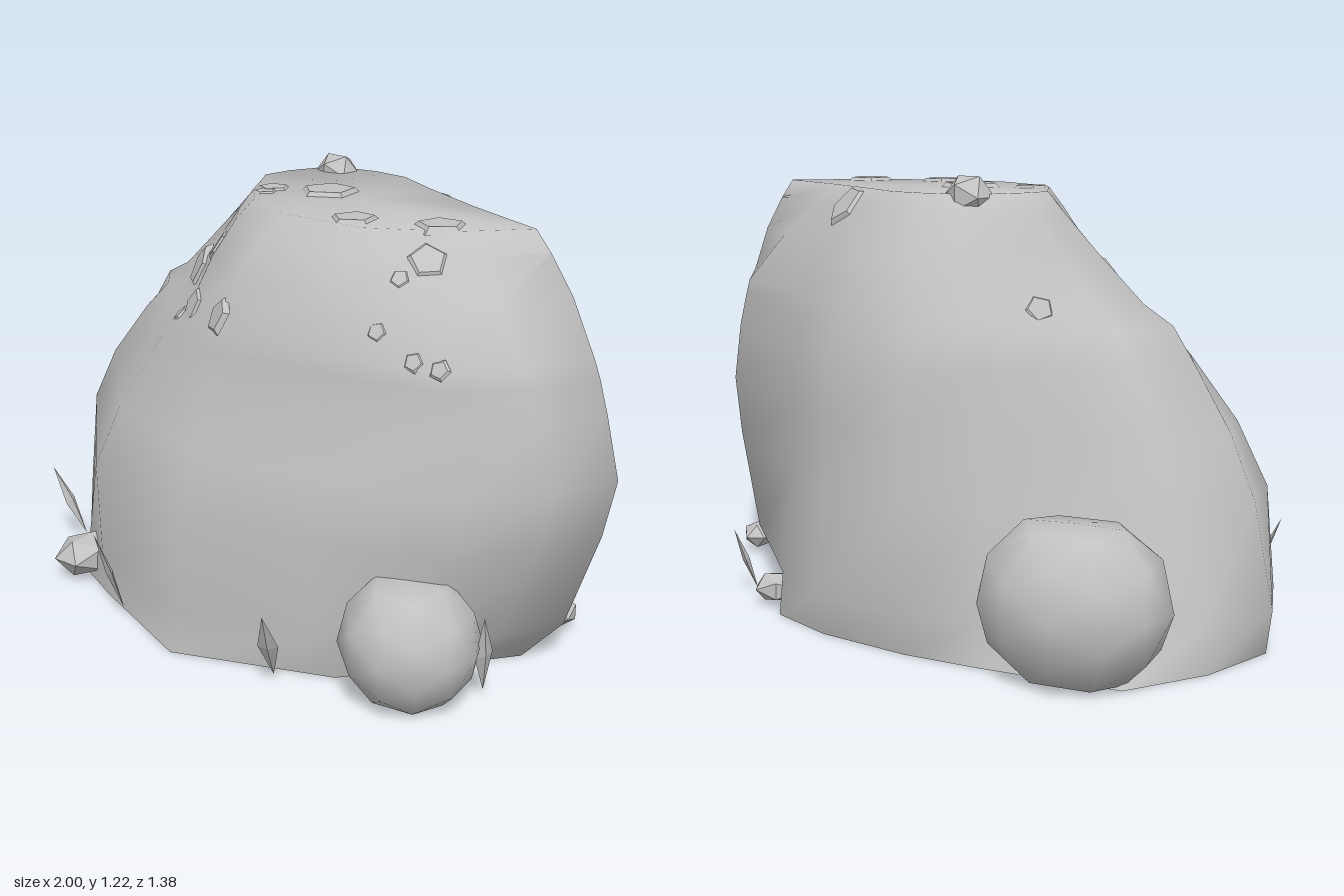
import * as THREE from 'three';
import { toCreasedNormals } from 'three/addons/utils/BufferGeometryUtils.js';

// Plan outlines [x, z], corner for corner: foot, widest girth, shoulder and flat crown
const FOOT = [[.77, -.06], [.68, .1], [.6, .25], [.51, .4], [.1, .64], [-.3, .56], [-.49, .51], [-.8, .25],
  [-.97, .03], [-.95, -.2], [-.86, -.43], [-.5, -.56], [-.3, -.62], [-.03, -.66], [.18, -.64], [.5, -.34]];
const GIRTH = [[1, -.14], [.94, .06], [.82, .28], [.48, .48], [.12, .64], [-.38, .57], [-.6, .42], [-.92, .2],
  [-1, .02], [-.92, -.2], [-.71, -.33], [-.5, -.55], [-.32, -.67], [-.03, -.69], [.2, -.6], [.73, -.375]];
const SHOULDER = [[.91, -.12], [.86, .08], [.73, .25], [.42, .36], [.07, .44], [-.17, .33], [-.3, .2], [-.45, .1],
  [-.57, .02], [-.56, -.17], [-.48, -.31], [-.39, -.46], [-.28, -.55], [-.03, -.58], [.2, -.5], [.66, -.34]];
const CROWN = [[.7, -.14], [.59, .02], [.48, .12], [.38, .2], [.12, .24], [-.1, .16], [-.2, .08], [-.28, -.02],
  [-.35, -.1], [-.35, -.2], [-.32, -.3], [-.25, -.36], [-.15, -.39], [-.02, -.39], [.15, -.32], [.4, -.23]];
const OUTLINES = [FOOT, GIRTH, SHOULDER, CROWN];
// Levels: height, outline (fractions blend to the next), then x and z extents
const LEVELS = [
  [0, 0, -.98, .77, -.66, .64],
  [.12, .6, -1, .87, -.685, .615],
  [.4, 1, -.94, .96, -.65, .615],
  [.57, 1.15, -.86, 1, -.64, .55],
  [.74, 1.5, -.74, .955, -.625, .48],
  [.83, 1.8, -.67, .93, -.595, .455],
  [.88, 2, -.57, .91, -.58, .44],
  [1.02, 2.5, -.455, .82, -.51, .38],
  [1.12, 2.83, -.375, .74, -.43, .3],
  [1.175, 3, -.33, .69, -.38, .22],
];

function levelPoints([y, blend, x0, x1, z0, z1]) {
  const k = Math.min(Math.floor(blend), 2), t = blend - k, next = OUTLINES[k + 1];
  const p = OUTLINES[k].map(([x, z], i) => [x + (next[i][0] - x) * t, z + (next[i][1] - z) * t]);
  const xs = p.map(q => q[0]), zs = p.map(q => q[1]);
  const fit = (v, all, lo, hi) => v > 0 ? v * hi / Math.max(...all) : v * lo / Math.min(...all);
  return p.map(([x, z]) => [fit(x, xs, x0, x1), y, fit(z, zs, z0, z1)]);
}

function boulderGeometry() {
  const n = GIRTH.length, pos = [], idx = [];
  LEVELS.forEach(l => levelPoints(l).forEach(p => pos.push(...p)));
  const top = pos.length / 3, last = top - n;
  pos.push(.12, 1.175, -.06);
  for (let j = 0; j < n; j++) {
    const k = (j + 1) % n;
    for (let r = 0; r < last; r += n) {
      idx.push(r + j, r + n + j, r + k, r + k, r + n + j, r + n + k);
    }
    idx.push(top, last + k, last + j);
  }
  const g = new THREE.BufferGeometry();
  g.setAttribute('position', new THREE.Float32BufferAttribute(pos, 3));
  g.setIndex(idx);
  return toCreasedNormals(g, 1.5);
}

// Flat underside cut to the lowest level
function undersideGeometry() {
  const outline = levelPoints(LEVELS[0]).map(([x, , z]) => new THREE.Vector2(x, z));
  return new THREE.ShapeGeometry(new THREE.Shape(outline)).rotateX(Math.PI / 2);
}

// Rounded stone with flattened top and underside
function stoneGeometry() {
  const g = new THREE.IcosahedronGeometry(1, 1), p = g.attributes.position;
  for (let i = 0; i < p.count; i++) {
    p.setY(i, THREE.MathUtils.clamp(p.getY(i) * 1.15, -1, 1));
  }
  return toCreasedNormals(g, 0.9);
}

export function createModel() {
  const group = new THREE.Group();
  const rock = new THREE.MeshStandardMaterial({ color: 0xc1c1c1 });
  rock.name = 'rock grey';
  const up = new THREE.Vector3(0, 1, 0);
  const add = (name, geometry) => {
    const m = new THREE.Mesh(geometry, rock);
    m.name = name;
    group.add(m);
    return m;
  };

  const boulder = add('boulder', boulderGeometry());
  boulder.updateMatrixWorld(true);
  add('underside', undersideGeometry());

  // Large stones leaning on the foot
  const round = stoneGeometry();
  for (const [x, y, z, rx, ry, rz, turn] of [
    [.71, .165, .325, .19, .165, .185, .3], [-.73, .2, -.45, .255, .2, .2, .35]]) {
    const s = add('largeStone', round);
    s.position.set(x, y, z);
    s.scale.set(rx, ry, rz);
    s.rotation.y = turn;
  }

  // Small angular stones on the ground
  const angular = toCreasedNormals(new THREE.IcosahedronGeometry(1, 0), 0.1);
  for (const [x, y, z, r] of [[-.465, .07, .53, .1], [.26, .05, -.58, .07], [.73, .05, -.27, .065]]) {
    const s = add('smallStone', angular);
    s.position.set(x, y, z);
    s.scale.set(r, r * .65, r * .85);
    s.rotation.y = x * 3;
  }

  // Pentagonal chips lying on the slopes: x, z, radius
  const chip = toCreasedNormals(new THREE.CylinderGeometry(.75, 1, .24, 5), 0.1);
  const ray = new THREE.Raycaster();
  [[-.01, -.06, .1], [.29, .13, .075], [-.37, .13, .08], [-.48, -.3, .045],
    [.22, -.33, .08], [.5, .02, .08], [.56, .13, .06], [.07, .42, .06], [-.16, .02, .055],
    [-.14, .07, .04], [-.17, .22, .055], [-.14, .34, .06], [-.2, .34, .03], [.53, .2, .03],
    [.53, .28, .03], [.65, .27, .03], [.72, .25, .03]].forEach(([x, z, r], i) => {
    ray.set(new THREE.Vector3(x, 3, z), new THREE.Vector3(0, -1, 0));
    const hit = ray.intersectObject(boulder)[0];
    const s = add('chip', chip);
    s.position.copy(hit.point);
    s.quaternion.setFromUnitVectors(up, hit.face.normal);
    s.rotateY(i * 1.3);
    s.scale.setScalar(r);
  });
  // Chip standing proud at the rear of the crown
  const peak = add('crownChip', angular);
  peak.position.set(-.24, 1.165, -.31);
  peak.scale.set(.075, .065, .065);

  // Slim shards around the foot: tip, then root
  const shard = toCreasedNormals(new THREE.OctahedronGeometry(1, 0), 0.1);
  for (const [a, b] of [
    [[-.76, .24, .44], [-.68, .02, .38]], [[-.175, .28, .69], [-.17, .02, .6]],
    [[.48, .25, .63], [.41, .02, .53]], [[.88, .26, .23], [.84, .02, .18]],
    [[.43, .19, -.6], [.39, .01, -.55]]]) {
    const tip = new THREE.Vector3(...a), root = new THREE.Vector3(...b);
    const s = add('shard', shard);
    s.position.copy(tip).add(root).multiplyScalar(.5);
    s.quaternion.setFromUnitVectors(up, tip.clone().sub(root).normalize());
    s.rotateY(Math.atan2(s.position.x, s.position.z));
    s.scale.set(.028, tip.distanceTo(root) / 2, .01);
  }
  return group;
}
